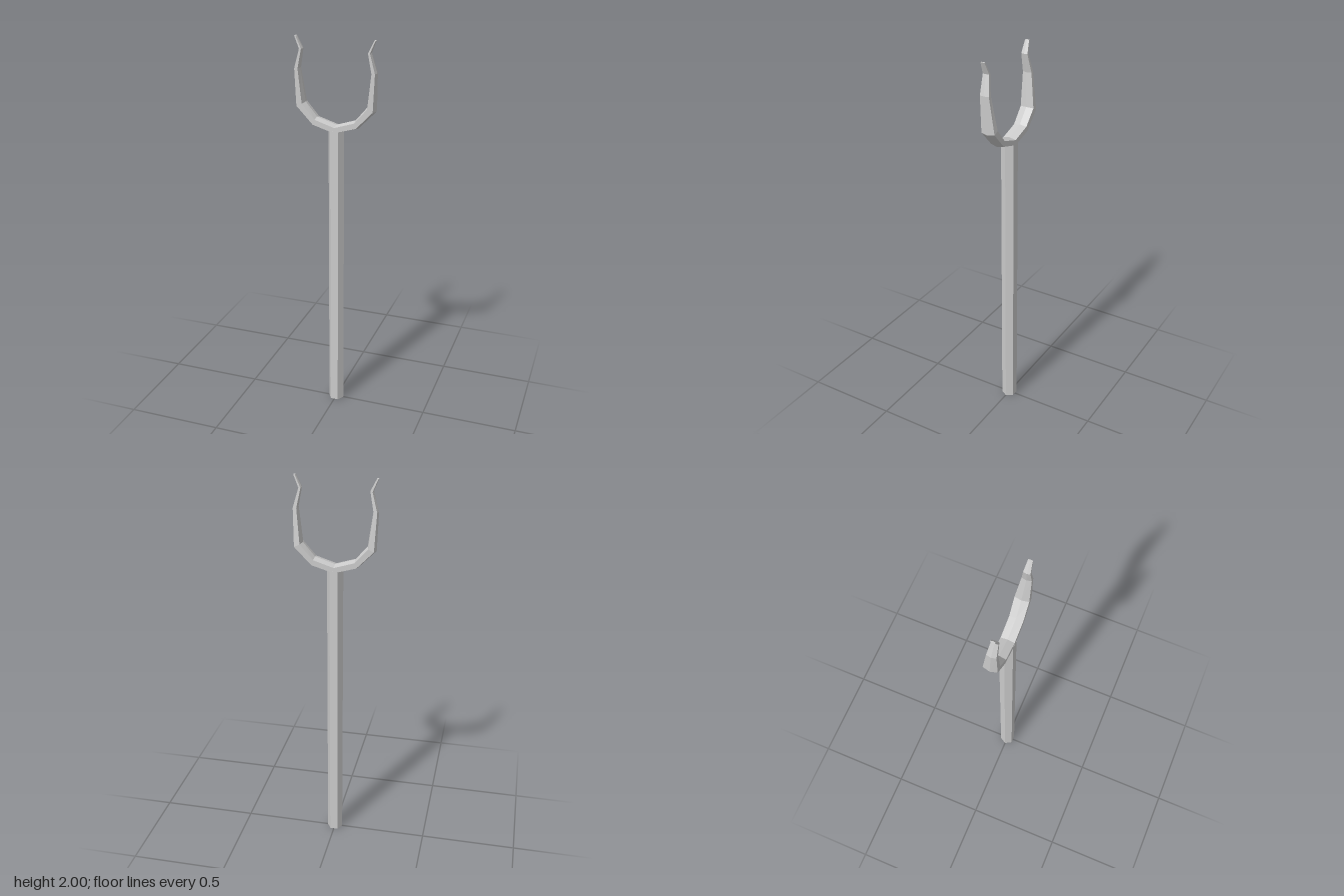
import * as THREE from 'three';

const material = new THREE.MeshStandardMaterial({ color: 0xcccccc, flatShading: true, side: THREE.DoubleSide });

// Half of the fork: [outerX, outerY, innerX, innerY, frontZ, backZ] from centre to tip
const HALF = [
  [0, 1.53, 0, 1.572, 0.035, -0.035],
  [0.114, 1.563, 0.1, 1.604, 0.035, -0.035],
  [0.204, 1.655, 0.16, 1.675, 0.035, -0.037],
  [0.209, 1.844, 0.182, 1.844, 0.035, -0.013],
  [0.181, 1.94, 0.165, 1.94, 0.034, 0],
  [0.205, 2.0, 0.195, 2.0, 0.03, 0.008],
];

// Six-sided cross-section with a ridge on the inner and outer side
function ring([ox, oy, ix, iy, front, back]) {
  const at = (t, z) => [ix + (ox - ix) * t, iy + (oy - iy) * t, z];
  const mid = (front + back) / 2;
  return [at(0, mid), at(0.18, front), at(0.82, front), at(1, mid), at(0.82, back), at(0.18, back)];
}

function forkGeometry() {
  const mirrored = HALF.slice(1).reverse().map(([ox, oy, ix, iy, f, b]) => [-ox, oy, -ix, iy, f, b]);
  const rings = [...mirrored, ...HALF].map(ring);
  const n = 6, last = (rings.length - 1) * n, index = [];
  for (let i = 0; i < rings.length - 1; i++) {
    for (let j = 0; j < n; j++) {
      const k = (j + 1) % n;
      const a = i * n + j, b = i * n + k, c = b + n, d = a + n;
      index.push(a, b, c, a, c, d);
    }
  }
  // Blunt tips
  for (let j = 1; j < n - 1; j++) {
    index.push(0, j + 1, j);
    index.push(last, last + j, last + j + 1);
  }
  const geometry = new THREE.BufferGeometry();
  geometry.setAttribute('position', new THREE.Float32BufferAttribute(rings.flat(2), 3));
  geometry.setIndex(index);
  geometry.computeVertexNormals();
  return geometry;
}

export function createModel() {
  const group = new THREE.Group();
  group.name = 'forkedStaff';

  // Hexagonal shaft with corners on the x axis
  const shaft = new THREE.Mesh(new THREE.CylinderGeometry(0.041, 0.041, 1.545, 6), material);
  shaft.geometry.rotateY(Math.PI / 2);
  shaft.position.y = 1.545 / 2;
  shaft.name = 'shaft';
  group.add(shaft);

  // Two-pronged head
  const fork = new THREE.Mesh(forkGeometry(), material);
  fork.name = 'fork';
  group.add(fork);

  return group;
}
